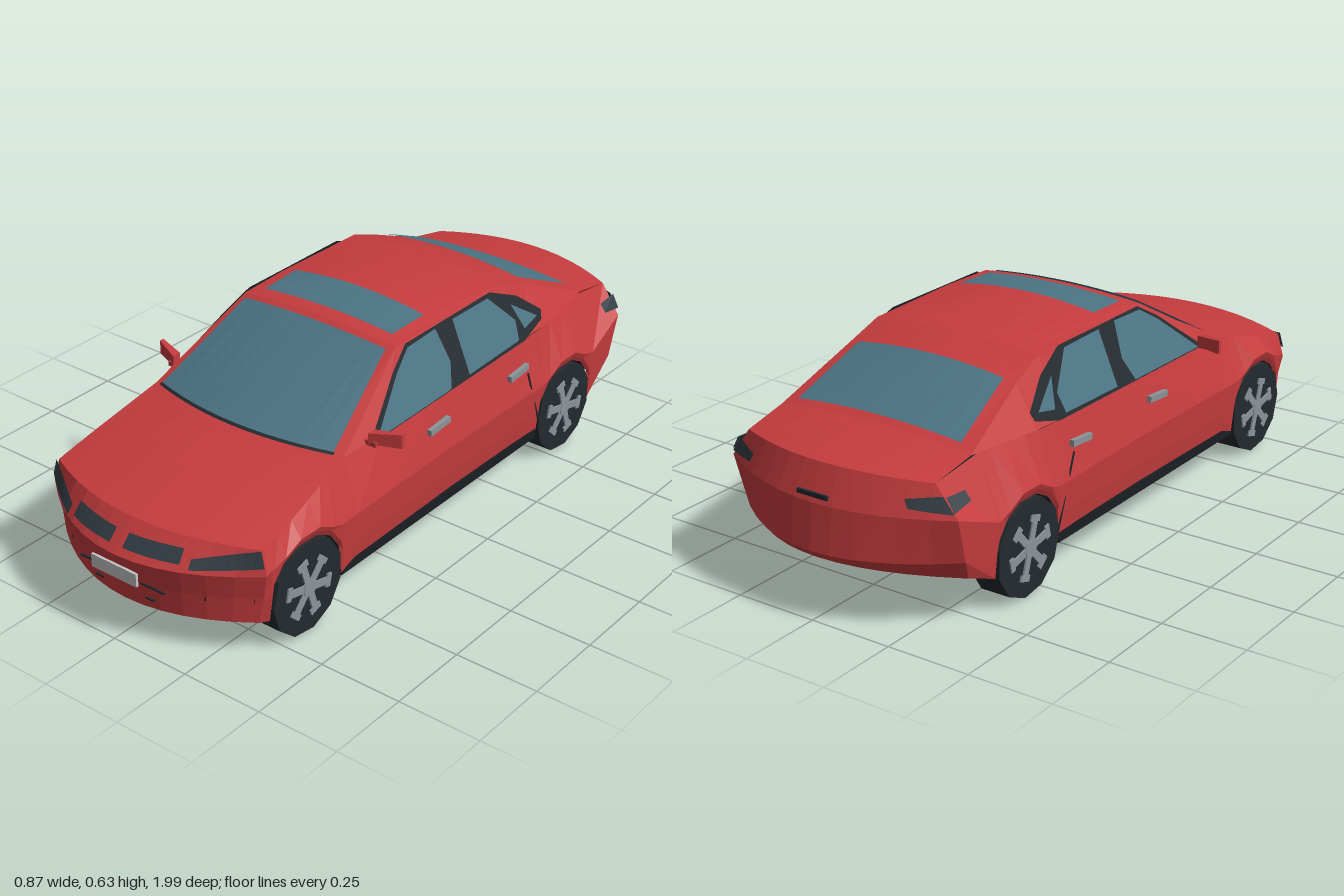
import * as THREE from 'three';

const mat = (name, color) => {
  const m = new THREE.MeshStandardMaterial({ color, side: THREE.DoubleSide, flatShading: true });
  m.name = name;
  return m;
};
const lerp = THREE.MathUtils.lerp;

// Piecewise linear lookup in a short table of [z, value...], z descending
function lookup(table, z, k) {
  if (z >= table[0][0]) return table[0][k];
  for (let i = 1; i < table.length; i++) {
    const a = table[i - 1], b = table[i];
    if (z >= b[0]) return lerp(a[k], b[k], (z - a[0]) / (b[0] - a[0]));
  }
  return table[table.length - 1][k];
}

// Faceted surface through a grid of points, rows[i][j] = [x, y, z]
function gridGeometry(rows) {
  const pos = [];
  for (let i = 0; i + 1 < rows.length; i++) {
    for (let j = 0; j + 1 < rows[i].length; j++) {
      const a = rows[i][j], b = rows[i][j + 1], c = rows[i + 1][j + 1], d = rows[i + 1][j];
      pos.push(...a, ...b, ...c, ...a, ...c, ...d);
    }
  }
  const g = new THREE.BufferGeometry();
  g.setAttribute('position', new THREE.Float32BufferAttribute(pos, 3));
  g.computeVertexNormals();
  return g;
}

// Body centre strip from front bumper over the roof to the rear bumper:
// [y, z, half width, backward bow at the edges, drop at the edges]
const strip = [
  [0.105, 0.95, 0.35, 0.13, 0],
  [0.185, 0.965, 0.365, 0.15, 0],
  [0.26, 0.985, 0.38, 0.165, 0],
  [0.338, 0.91, 0.362, 0.095, 0.008],
  [0.385, 0.7, 0.358, 0, 0.028],
  [0.425, 0.51, 0.335, 0.06, 0.004],
  [0.615, 0.14, 0.27, 0, 0.015],
  [0.63, -0.04, 0.275, 0, 0.028],
  [0.612, -0.37, 0.272, 0, 0.015],
  [0.58, -0.48, 0.28, 0, 0.025],
  [0.465, -0.73, 0.315, 0, 0.02],
  [0.428, -0.945, 0.31, -0.075, 0.01],
  [0.33, -0.985, 0.375, -0.12, 0],
  [0.2, -1.0, 0.37, -0.17, 0],
  [0.17, -0.97, 0.355, -0.17, 0.03],
];
function stripPoint(row, v, u, off = [0, 0, 0]) {
  const a = strip[row], b = strip[Math.min(row + 1, strip.length - 1)];
  const [y, z, hw, bow, drop] = a.map((n, i) => lerp(n, b[i], v));
  return [u * hw + off[0], y - drop * u * u + off[1], z - bow * u * u + off[2]];
}
// Thin patch lying on the strip, v limits vary linearly across u
function patch(row, u0, u1, va, vb, off, n = 8) {
  const lines = [0, 1].map((k) => Array.from({ length: n + 1 }, (_, i) => {
    const t = i / n;
    return stripPoint(row, lerp(va[k], vb[k], t), lerp(u0, u1, t), off);
  }));
  return gridGeometry(lines);
}

// Side panel tables: greatest half width, and the belt line (x, y)
const widths = [[0.82, 0.38], [0.66, 0.392], [0.4, 0.386], [0, 0.38], [-0.3, 0.383], [-0.55, 0.39], [-0.73, 0.386], [-0.865, 0.375]];
const belt = [[0.82, 0.362, 0.33], [0.7, 0.358, 0.357], [0.45, 0.335, 0.421], [0.3, 0.345, 0.425], [-0.45, 0.347, 0.435], [-0.73, 0.315, 0.445], [-0.87, 0.31, 0.418]];
const AXLES = [0.655, -0.565], WHEEL_Y = 0.14, ARCH = 0.147;

export function createModel() {
  const car = new THREE.Group();
  car.name = 'car';
  const red = mat('body red', 0xc63c3e);
  const glass = mat('window glass', 0x4c7484);
  const black = mat('trim and tyre black', 0x23292e);
  const lamp = mat('lamp and grille grey', 0x323c44);
  const floorMat = mat('underbody black', 0x1a1f23);
  const metal = mat('wheel metal', 0x8b9498);
  const white = mat('plate grey', 0xc4c4c4);
  const add = (name, geometry, material, parent = car) => {
    const m = new THREE.Mesh(geometry, material);
    m.name = name;
    parent.add(m);
    return m;
  };
  const box = (name, size, at, material, parent) => {
    const m = add(name, new THREE.BoxGeometry(...size), material, parent);
    m.position.set(...at);
    return m;
  };

  // Bumpers, bonnet, roof and boot
  add('bodyCentre', gridGeometry(strip.map((_, r) =>
    Array.from({ length: 13 }, (_, j) => stripPoint(r, 0, j / 6 - 1)))), red);

  // Glass on the strip
  add('windscreen', patch(5, -0.92, 0.92, [0.02, 0.95], [0.02, 0.95], [0, 0.005, 0.005], 12), glass);
  add('sunroof', patch(6, -0.84, 0.84, [0.22, 1], [0.22, 1], [0, 0.005, 0], 12), glass);
  add('rearWindow', patch(9, -0.87, 0.87, [0.02, 0.92], [0.02, 0.92], [0, 0.006, -0.003], 12), glass);
  add('windscreenSeal', patch(5, -0.93, 0.93, [0, 0.025], [0, 0.025], [0, 0.006, 0.006], 12), black);

  // Number plate, intake slots, boot handle
  box('frontPlate', [0.16, 0.04, 0.008], [0, 0.21, 0.983], white);
  box('bumperSeam', [0.3, 0.004, 0.006], [0, 0.184, 0.957], black);
  box('bootHandle', [0.1, 0.012, 0.008], [0, 0.35, -0.979], black);

  // Side stations, stepping round the wheel arches
  const stations = [];
  AXLES.forEach((c, i) => {
    for (const deg of [-13, 25, 50, 75, 105, 130, 155, 193]) {
      const a = THREE.MathUtils.degToRad(deg);
      stations.push([c + ARCH * Math.cos(a), WHEEL_Y + ARCH * Math.sin(a)]);
    }
    if (i === 0) [0.45, 0.3, 0, -0.3].forEach((z) => stations.push([z, 0.115]));
  });

  for (const s of [1, -1]) {
    const side = new THREE.Group();
    side.name = s > 0 ? 'leftSide' : 'rightSide';
    car.add(side);
    const flip = (pts) => pts.map((p) => [p[0] * s, p[1], p[2]]);
    const corner = (rows) => rows.map((r) => stripPoint(r, 0, 1));

    // Wings and doors
    const columns = [corner([0, 1, 2, 3])];
    for (const [z, bottom] of stations) {
      const w = lookup(widths, z, 1);
      columns.push([
        [w * 0.965, bottom, z],
        [w * 0.985, Math.max(0.185, bottom + 0.015), z],
        [w, Math.max(0.27, bottom + 0.03), z],
        [lookup(belt, z, 1), lookup(belt, z, 2), z],
      ]);
    }
    columns.push(corner([14, 13, 12, 11]));
    add('sidePanel', gridGeometry(columns.map(flip)), red, side);

    // Pillars and roof sides between the belt and the roof edge
    const roofEdge = [5, 6, 7, 8, 9, 10].map((r) => stripPoint(r, 0, 1));
    roofEdge.splice(1, 0, stripPoint(5, 0.48, 1));
    add('pillars', gridGeometry(roofEdge.map((p) =>
      flip([[lookup(belt, p[2], 1), lookup(belt, p[2], 2), p[2]], p]))), red, side);

    // Side windows: flat plates leaning in with the cabin, given as (z, y)
    const plate = (name, pts, off, material) => {
      const p = flip(pts.map(([z, y]) => [0.346 - (y - 0.43) * 0.42 + off, y, z]));
      const pos = [];
      for (let i = 1; i + 1 < p.length; i++) pos.push(...p[0], ...p[i], ...p[i + 1]);
      const g = new THREE.BufferGeometry();
      g.setAttribute('position', new THREE.Float32BufferAttribute(pos, 3));
      g.computeVertexNormals();
      add(name, g, material, side);
    };
    plate('windowTrim', [[0.36, 0.425], [0.19, 0.555], [0.11, 0.602], [-0.29, 0.602], [-0.4, 0.555], [-0.49, 0.485], [-0.48, 0.46], [-0.38, 0.433]], 0.006, black);
    plate('frontSideWindow', [[0.33, 0.43], [0.18, 0.55], [0.11, 0.593], [-0.02, 0.597], [-0.04, 0.5], [-0.01, 0.434]], 0.01, glass);
    plate('rearSideWindow', [[-0.1, 0.44], [-0.1, 0.595], [-0.27, 0.593], [-0.36, 0.5], [-0.35, 0.445]], 0.01, glass);
    plate('quarterWindow', [[-0.39, 0.465], [-0.385, 0.5], [-0.36, 0.545], [-0.46, 0.478]], 0.01, glass);

    // Lamps and grille
    add('headlight', patch(2, 0.56 * s, 1.0 * s, [0.1, 0.42], [0.3, 0.97], [0.003 * s, 0.004, 0.006]), lamp, side);
    add('grille', patch(2, 0.06 * s, 0.5 * s, [0.22, 0.62], [0.2, 0.66], [0, 0.005, 0.005]), lamp, side);
    add('tailLight', patch(11, 0.72 * s, 1.0 * s, [0.5, 0.75], [0.35, 0.85], [0.003 * s, 0.003, -0.006]), lamp, side);
    const sideLamp = [[[0.338, 0.39, -0.875], [0.361, 0.35, -0.873]], [[0.34, 0.385, -0.8], [0.359, 0.36, -0.8]]];
    add('tailLightSide', gridGeometry(sideLamp.map((r) => flip(r.map((p) => [p[0] + 0.008, p[1], p[2]])))), lamp, side);
    box('intakeSlot', [0.03, 0.004, 0.008], [0.09 * s, 0.138, 0.948], black, side);

    // Door handles
    for (const z of [0.075, -0.315]) {
      const h = box('doorHandle', [0.014, 0.018, 0.09], [0.375 * s, 0.362, z], metal, side);
      h.rotation.x = 0.08;
    }
    // Door seams
    box('doorSeam', [0.004, 0.22, 0.004], [0.381 * s, 0.24, -0.395], black, side).rotation.x = 0.35;

    // Door mirror, a tapering slanted housing
    const mirror = new THREE.BoxGeometry(0.085, 0.042, 0.028, 1, 1, 1);
    const mp = mirror.attributes.position;
    for (let i = 0; i < mp.count; i++) {
      const out = mp.getX(i) * s > 0;
      if (!out) mp.setY(i, mp.getY(i) * 0.75 - 0.003);
      mp.setZ(i, mp.getZ(i) * (out ? 0.5 : 1) - mp.getX(i) * s * 0.35);
    }
    add('mirror', mirror, red, side).position.set(0.392 * s, 0.448, 0.335);
    box('mirrorArm', [0.05, 0.014, 0.022], [0.348 * s, 0.43, 0.35], red, side);

    // Sills
    box('sill', [0.07, 0.03, 0.93], [0.34 * s, 0.112, 0.045], floorMat, side);
    box('floorRail', [0.045, 0.03, 0.9], [0.248 * s, 0.105, 0.045], floorMat, side);

    // Wheels and arch liners
    AXLES.forEach((c, i) => {
      const liner = Array.from({ length: 9 }, (_, k) => {
        const a = (k / 8) * Math.PI;
        return [0.2, 0.372].map((x) => [x * s, WHEEL_Y + (ARCH - 0.002) * Math.sin(a), c + (ARCH - 0.002) * Math.cos(a)]);
      });
      add('archLiner', gridGeometry(liner), floorMat, side);

      const wheel = new THREE.Group();
      wheel.name = i === 0 ? 'frontWheel' : 'rearWheel';
      wheel.position.set(0.335 * s, WHEEL_Y, c);
      side.add(wheel);
      const tyre = add('tyre', new THREE.CylinderGeometry(0.14, 0.14, 0.09, 11), black, wheel);
      tyre.rotation.z = Math.PI / 2;
      const hub = add('hub', new THREE.CylinderGeometry(0.026, 0.026, 0.012, 8), metal, wheel);
      hub.rotation.z = Math.PI / 2;
      hub.position.x = 0.046 * s;
      for (let k = 0; k < 6; k++) {
        const spoke = new THREE.Group();
        spoke.name = 'spoke';
        spoke.rotation.x = (k * Math.PI) / 3 + 0.3;
        wheel.add(spoke);
        box('spokeBar', [0.008, 0.072, 0.022], [0.046 * s, 0.052, 0], metal, spoke);
        box('spokeTip', [0.008, 0.018, 0.04], [0.046 * s, 0.082, 0], metal, spoke);
      }
    });
  }

  // Underbody pans: [half width, bottom, top, front z, rear z]
  const pans = [
    [0.36, 0.112, 0.15, 0.5, -0.41],
    [0.27, 0.15, 0.3, 0.82, 0.5],
    [0.27, 0.15, 0.3, -0.41, -0.74],
    [0.345, 0.17, 0.22, 0.83, 0.805],
    [0.24, 0.17, 0.22, 0.9, 0.82],
    [0.35, 0.19, 0.24, -0.72, -0.82],
    [0.24, 0.19, 0.24, -0.82, -0.92],
  ];
  for (const [hw, lo, hi, zf, zr] of pans) {
    box('underbody', [hw * 2, hi - lo, zf - zr], [0, (lo + hi) / 2, (zf + zr) / 2], floorMat);
  }
  for (const c of AXLES) {
    const axle = add('axle', new THREE.CylinderGeometry(0.02, 0.02, 0.6, 8), floorMat);
    axle.rotation.z = Math.PI / 2;
    axle.position.set(0, WHEEL_Y, c);
  }
  return car;
}
